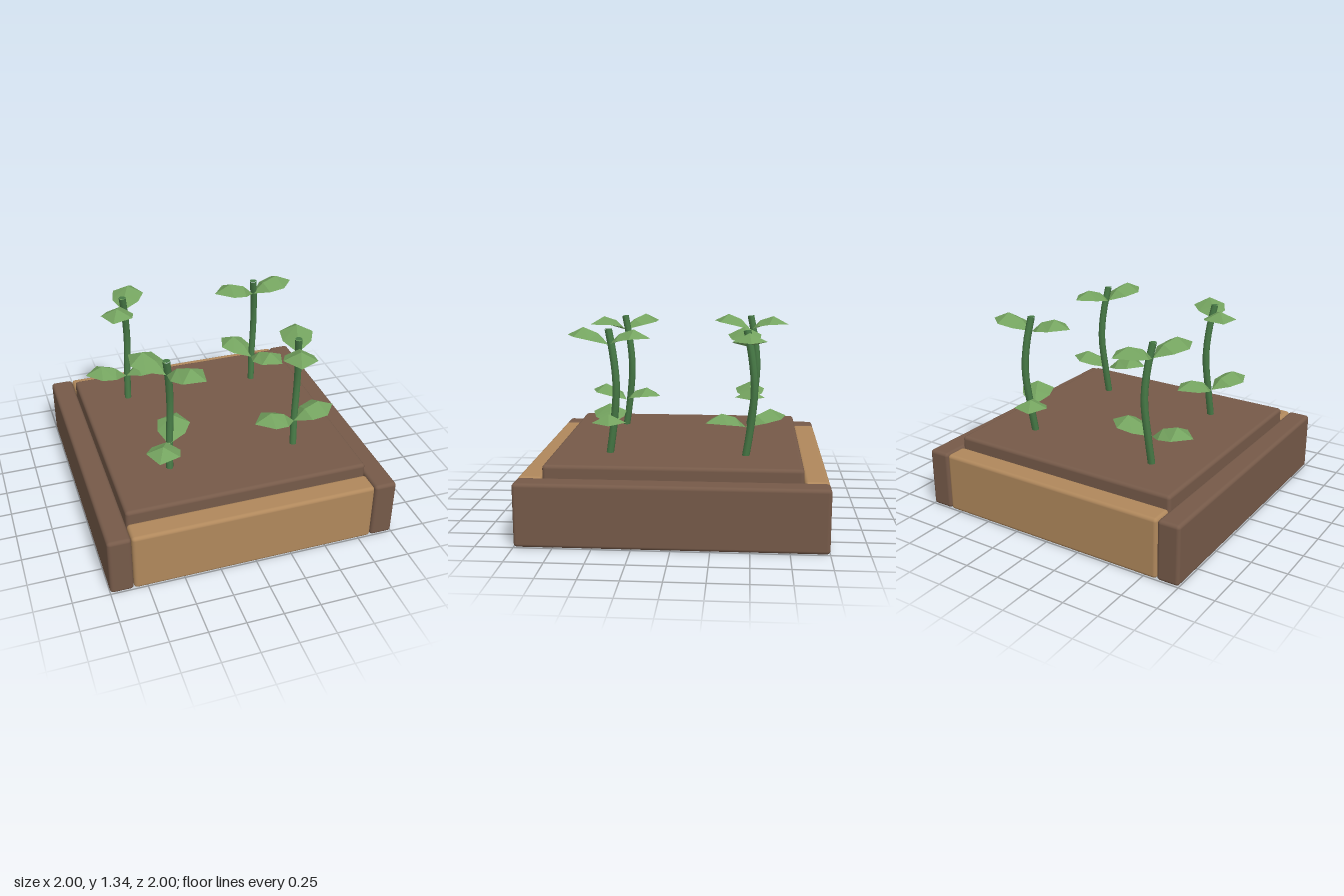
import * as THREE from 'three';
import { RoundedBoxGeometry } from 'three/addons/geometries/RoundedBoxGeometry.js';

const mat = (name, color) => {
  const m = new THREE.MeshStandardMaterial({ color });
  m.name = name;
  return m;
};

// Folded leaf pointing along +x: base point, two roof-shaped rows, tip
function leafGeometry() {
  const base = [0, 0, 0], tip = [0.305, 0.055, 0];
  const rows = [
    { x: 0.095, ridge: 0.075, edge: 0.035, half: 0.095 },
    { x: 0.2, ridge: 0.11, edge: 0.055, half: 0.112 },
  ].map(r => [[r.x, r.edge, -r.half], [r.x - 0.015, r.ridge, 0], [r.x, r.edge, r.half]]);
  const [a, b] = rows;
  const pos = [];
  const tri = (...p) => p.forEach(v => pos.push(...v));
  for (let i = 0; i < 2; i++) {
    tri(base, a[i + 1], a[i]);
    tri(a[i], a[i + 1], b[i + 1]);
    tri(a[i], b[i + 1], b[i]);
    tri(b[i], b[i + 1], tip);
  }
  const g = new THREE.BufferGeometry();
  g.setAttribute('position', new THREE.Float32BufferAttribute(pos, 3));
  g.computeVertexNormals();
  return g;
}

export function createModel() {
  const model = new THREE.Group();
  model.name = 'planterBox';
  const darkWood = mat('dark brown', 0x765a49);
  const lightWood = mat('light wood', 0xb0885c);
  const stemGreen = mat('stem green', 0x477a46);
  const leafGreen = mat('leaf green', 0x74a35f);
  leafGreen.side = THREE.DoubleSide;
  leafGreen.flatShading = true;

  const block = (name, size, at, material) => {
    const m = new THREE.Mesh(new RoundedBoxGeometry(...size, 3, 0.024), material);
    m.name = name;
    m.position.set(...at);
    model.add(m);
  };

  // Frame planks and the soil slab
  for (const s of [-1, 1]) {
    block(s > 0 ? 'leftPlank' : 'rightPlank', [0.158, 0.42, 2], [s * 0.921, 0.21, 0], darkWood);
    block(s > 0 ? 'frontPlank' : 'backPlank', [1.68, 0.42, 0.16], [0, 0.21, s * 0.92], lightWood);
  }
  block('soil', [1.676, 0.16, 1.676], [0, 0.42, 0], darkWood);

  // Stem bowed to one side, closed by a flat cap
  const curve = new THREE.CatmullRomCurve3([
    [0, 0.46, 0.005], [0.012, 0.68, -0.028], [0.03, 0.95, -0.052],
    [0.022, 1.15, -0.035], [0, 1.335, 0],
  ].map(p => new THREE.Vector3(...p)));
  const stemGeo = new THREE.TubeGeometry(curve, 12, 0.025, 8);
  const capGeo = new THREE.CircleGeometry(0.025, 8).rotateX(-Math.PI / 2);
  const leafGeo = leafGeometry();

  // Plants: x, z, heading of the lower leaf pair in degrees
  const plants = [[-0.5, -0.49, 0], [0.48, -0.465, -60], [-0.44, 0.455, 64], [0.46, 0.45, 7]];
  plants.forEach(([x, z, heading], n) => {
    const plant = new THREE.Group();
    plant.name = `plant${n + 1}`;
    plant.position.set(x, 0, z);
    const stem = new THREE.Mesh(stemGeo, stemGreen);
    stem.name = 'stem';
    const cap = new THREE.Mesh(capGeo, stemGreen);
    cap.name = 'stemTop';
    cap.position.y = 1.335;
    plant.add(stem, cap);
    // Two opposite leaves on each tier, the upper tier twisted
    for (const [tier, y, twist] of [['lower', 0.69, 0], ['upper', 1.23, 65]]) {
      for (const half of [0, 180]) {
        const leaf = new THREE.Mesh(leafGeo, leafGreen);
        leaf.name = `${tier}Leaf`;
        leaf.position.y = y;
        leaf.rotation.y = THREE.MathUtils.degToRad(heading + twist + half);
        plant.add(leaf);
      }
    }
    model.add(plant);
  });
  return model;
}
